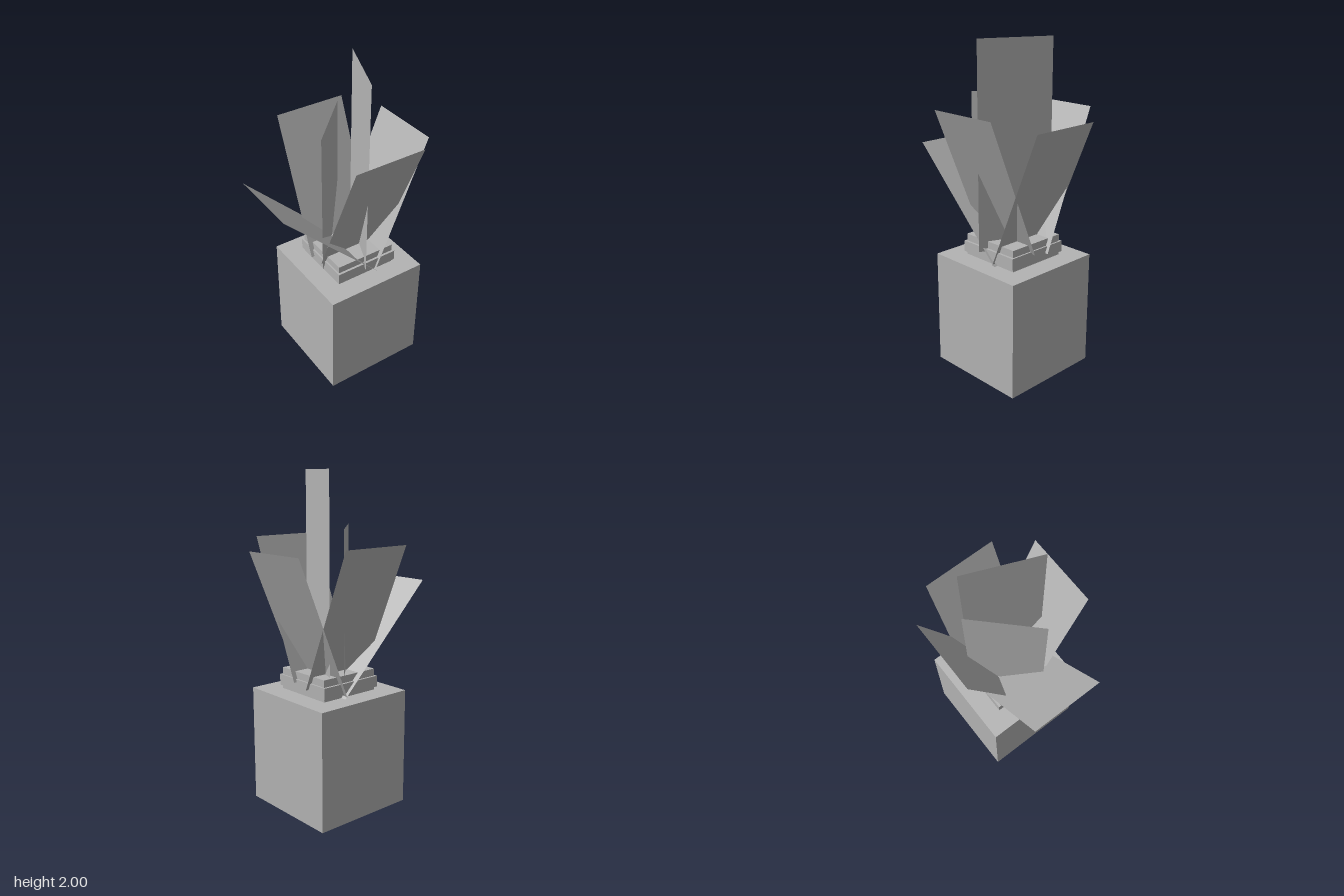
import * as THREE from 'three';

export function createModel() {
  const model = new THREE.Group();
  const grey = new THREE.MeshStandardMaterial({ color: 0xb3b3b3, side: THREE.DoubleSide });
  grey.name = 'plain grey';

  function add(name, geometry, x, y, z) {
    const mesh = new THREE.Mesh(geometry, grey);
    mesh.name = name;
    mesh.position.set(x, y, z);
    model.add(mesh);
  }

  // Box given by its lower and upper limits
  function box(name, [x0, y0, z0], [x1, y1, z1]) {
    add(name, new THREE.BoxGeometry(x1 - x0, y1 - y0, z1 - z0),
      (x0 + x1) / 2, (y0 + y1) / 2, (z0 + z1) / 2);
  }

  // Flat leaf standing on its base point, leaning outward, then turned about y
  function leaf(name, [x, y, z], turn, lean, height = 0.9) {
    const geometry = new THREE.PlaneGeometry(0.45, height);
    geometry.translate(0, height / 2, 0);
    geometry.rotateX(THREE.MathUtils.degToRad(lean));
    geometry.rotateY(THREE.MathUtils.degToRad(turn));
    add(name, geometry, x, y, z);
  }

  // Pot and stepped slabs on top
  box('pot', [-0.24, 0, -0.32], [0.41, 0.71, 0.33]);
  box('soil', [-0.11, 0.71, -0.185], [0.28, 0.84, 0.2]);
  box('rim', [-0.12, 0.73, -0.2], [0.29, 0.797, 0.215]);

  // Four leaning leaves
  leaf('frontLeaf', [0.085, 0.78, 0.053], 0, 22.5);
  leaf('leftLeaf', [0.136, 0.715, 0.003], 90, 22.5);
  leaf('backLeaf', [0.085, 0.757, -0.056], 180, 22.5);
  leaf('rightLeaf', [0.157, 0.705, 0.003], -90, 45);

  // Two upright leaves
  leaf('tallLeaf', [0.135, 0.78, 0.0425], 67.5, 0, 1.22);
  leaf('shortLeaf', [-0.003, 0.78, -0.054], 45, 0);

  return model;
}
